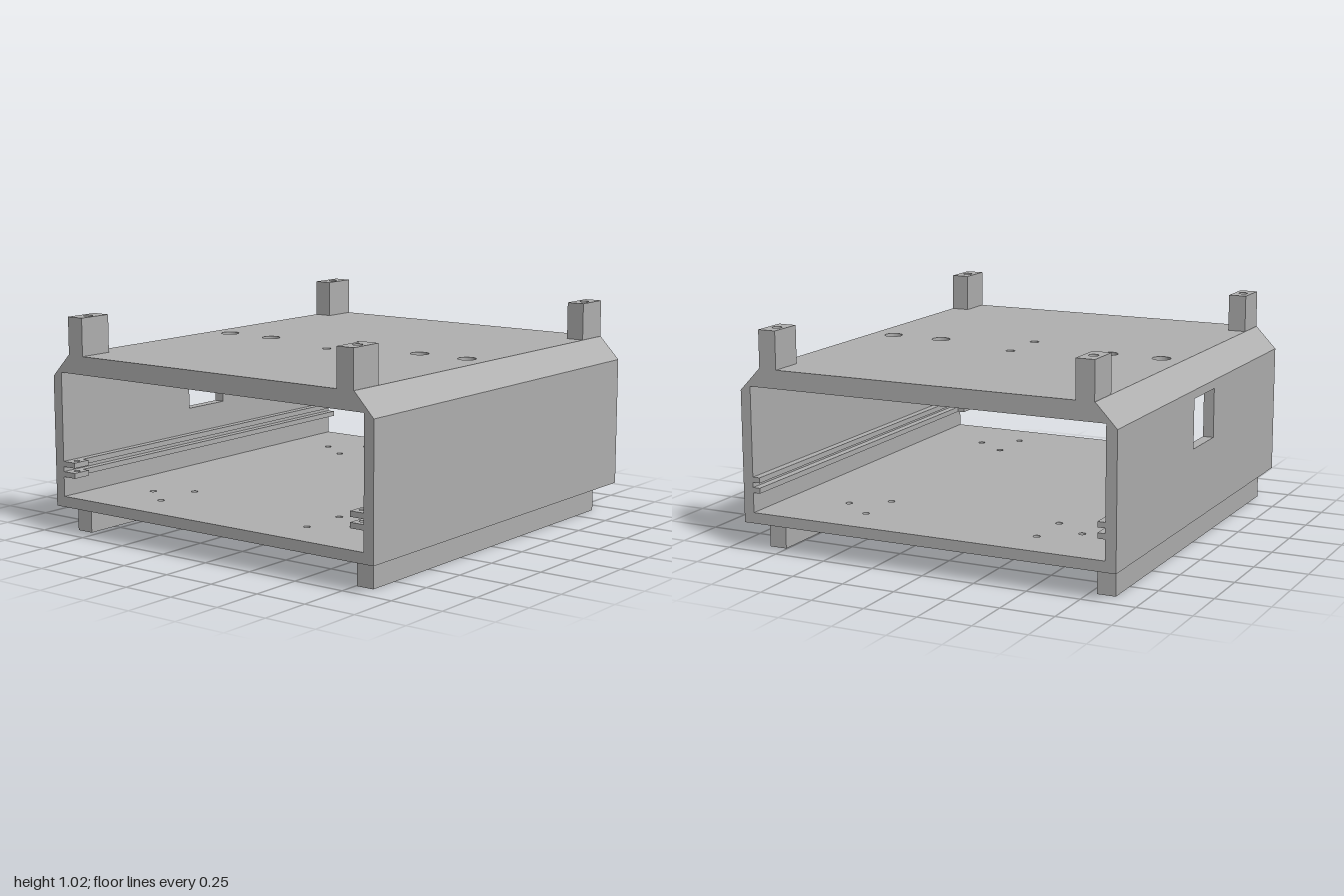
import * as THREE from 'three';

const grey = new THREE.MeshStandardMaterial({ color: 0xb0b0b0 });
grey.name = 'plain grey';

const rect = (a0, a1, b0, b1) => [[a0, b0], [a1, b0], [a1, b1], [a0, b1]].map(p => new THREE.Vector2(...p));
const extrude = (shape, depth) =>
  new THREE.ExtrudeGeometry(shape, { depth, bevelEnabled: false, curveSegments: 20 });

export function createModel() {
  const group = new THREE.Group();
  const add = (name, geometry) => {
    const mesh = new THREE.Mesh(geometry, grey);
    mesh.name = name;
    group.add(mesh);
  };

  // Horizontal slab with round vertical holes, each given as [x, z, radius]
  const plate = (name, x0, x1, y0, y1, z0, z1, holes = []) => {
    const shape = new THREE.Shape(rect(x0, x1, -z1, -z0));
    for (const [x, z, r] of holes) {
      shape.holes.push(new THREE.Path().absarc(x, -z, r, 0, Math.PI * 2, true));
    }
    add(name, extrude(shape, y1 - y0).rotateX(-Math.PI / 2).translate(0, y0, 0));
  };

  // Floor with four triangles of screw holes
  const floorHoles = [];
  for (const s of [-1, 1]) {
    for (const [x, z] of [[0.56, 0.67], [0.4, 0.56], [0.4, 0.79]]) {
      floorHoles.push([x, s * z, 0.016], [-0.05 - x, s * z, 0.016]);
    }
  }
  plate('floor', -0.91, 0.91, 0.13, 0.18, -1, 1, floorHoles);

  // Roof in two layers, so that the larger holes are counterbored
  const bores = [-0.7, -0.44, 0.435, 0.695];
  const pins = [[0, -0.13, 0.021], [0, 0.13, 0.021]];
  plate('roofLower', -0.81, 0.81, 0.76, 0.80, -1, 1, [...bores.map(x => [x, 0, 0.021]), ...pins]);
  plate('roofUpper', -0.81, 0.81, 0.80, 0.845, -1, 1, [...bores.map(x => [x, 0, 0.043]), ...pins]);

  for (const s of [-1, 1]) {
    const side = s > 0 ? 'left' : 'right';
    const span = (a, b) => (s > 0 ? [a, b] : [-b, -a]);

    // Side wall; only the right one has a square window
    const wall = new THREE.Shape(rect(-1, 1, 0.18, 0.74));
    if (s < 0) wall.holes.push(new THREE.Path(rect(-0.125, 0.13, 0.47, 0.7).reverse()));
    add(side + 'Wall', extrude(wall, 0.05).rotateY(-Math.PI / 2).translate(s > 0 ? 0.91 : -0.86, 0, 0));

    // Sloped shoulder between wall and roof
    const profile = [[0.81, 0.845], [0.91, 0.74], [0.86, 0.74], [0.86, 0.76], [0.81, 0.76]];
    const shoulder = new THREE.Shape(profile.map(([x, y]) => new THREE.Vector2(s * x, y)));
    add(side + 'Shoulder', extrude(shoulder, 2).translate(0, 0, -1));

    // Pair of board guide rails with drilled tabs at the front
    for (const y of [0.272, 0.32]) {
      plate(side + 'GuideRail', ...span(0.825, 0.86), y, y + 0.025, -1, 0.91);
      plate(side + 'GuideTab', ...span(0.79, 0.86), y, y + 0.025, 0.91, 1, [[s * 0.82, 0.955, 0.014]]);
    }

    // Corner posts with a hole in the top
    for (const e of [-1, 1]) {
      const z = e > 0 ? [0.83, 1] : [-1, -0.83];
      plate(side + 'Post', ...span(0.722, 0.808), 0.845, 1.02, ...z, [[s * 0.765, e * 0.915, 0.022]]);
    }

    // Foot runner, set slightly towards the right
    const x = s > 0 ? [0.755, 0.84] : [-0.87, -0.785];
    plate(side + 'Foot', ...x, 0, 0.13, -0.905, 0.905);
  }
  return group;
}
